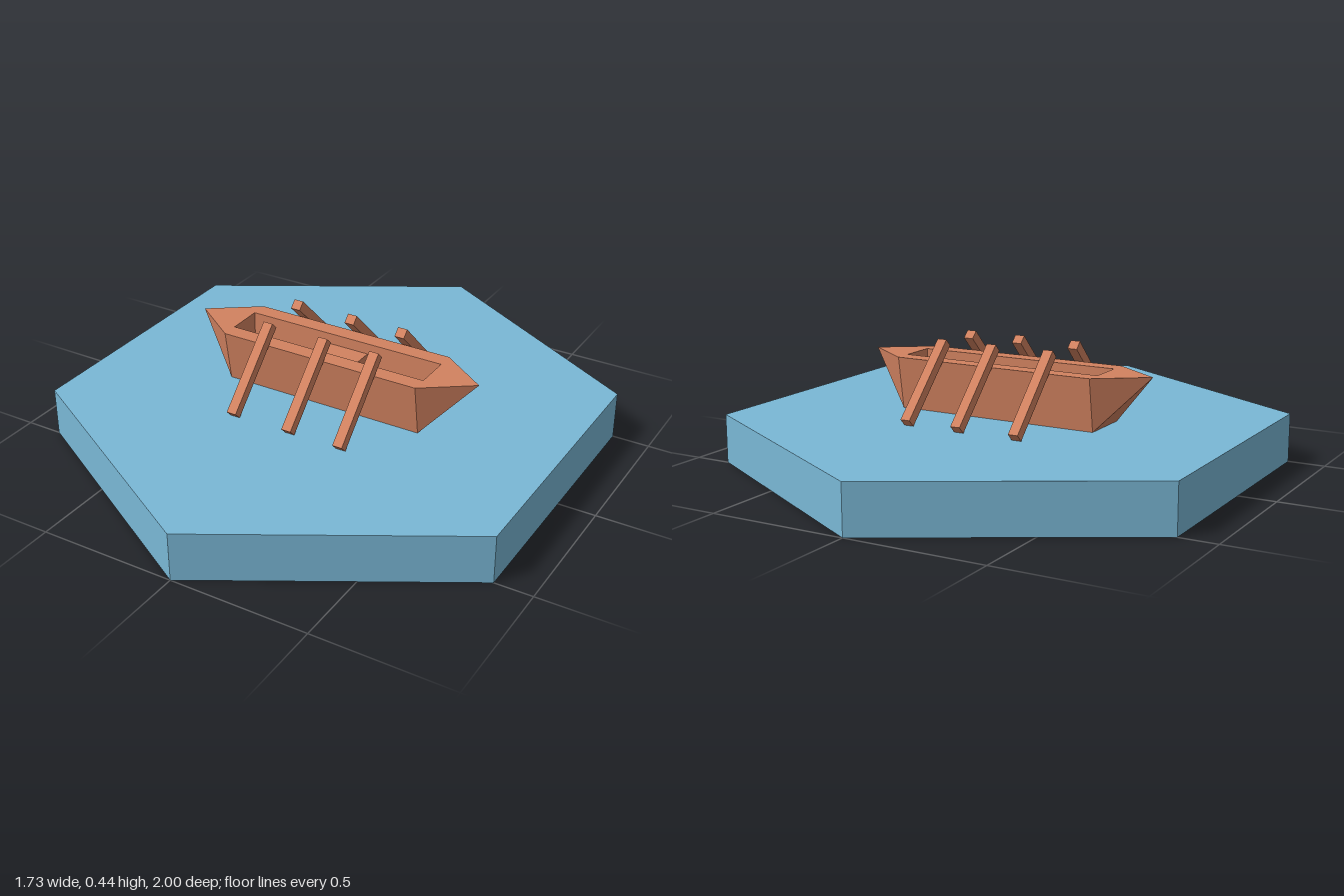
import * as THREE from 'three';

const WATER = 0.175, DECK = 0.365, FLOOR = 0.235;
const MID = 0.38, TIP = 0.555, BEAM = 0.125, KEEL = 0.095, WELL = 0.065;

// Flat-shaded surface from convex polygons, repeated with a half turn about y
function halfTurnSurface(polygons) {
  const pos = [];
  for (const s of [1, -1]) {
    for (const p of polygons) {
      for (let i = 1; i < p.length - 1; i++) {
        for (const [x, y, z] of [p[0], p[i], p[i + 1]]) pos.push(s * x, y, s * z);
      }
    }
  }
  const g = new THREE.BufferGeometry();
  g.setAttribute('position', new THREE.Float32BufferAttribute(pos, 3));
  g.computeVertexNormals();
  return g;
}

export function createModel() {
  const model = new THREE.Group();
  const water = new THREE.MeshStandardMaterial({ color: 0x7ab8d6 });
  water.name = 'waterBlue';
  const wood = new THREE.MeshStandardMaterial({ color: 0xd28260 });
  wood.name = 'woodOrange';

  const add = (name, geometry, material, parent = model) => {
    const mesh = new THREE.Mesh(geometry, material);
    mesh.name = name;
    parent.add(mesh);
    return mesh;
  };

  // Hexagonal water tile
  const tile = new THREE.CylinderGeometry(1, 1, WATER, 6).toNonIndexed();
  tile.computeVertexNormals();
  add('waterTile', tile, water).position.y = WATER / 2;

  const boat = new THREE.Group();
  boat.name = 'boat';
  model.add(boat);

  // Hull with pointed raked ends
  const tip = [TIP, DECK, 0];
  const topF = [MID, DECK, BEAM], topB = [MID, DECK, -BEAM];
  const lowF = [MID, WATER, KEEL], lowB = [MID, WATER, -KEEL];
  add('hull', halfTurnSurface([
    [[-MID, WATER, KEEL], lowF, topF, [-MID, DECK, BEAM]],
    [lowF, lowB, tip],
    [lowF, tip, topF],
    [lowB, topB, tip],
  ]), wood, boat);

  // Deck rim around the open well
  add('deck', halfTurnSurface([
    [topF, tip, topB],
    [[-MID, DECK, BEAM], topF, [MID, DECK, WELL], [-MID, DECK, WELL]],
  ]), wood, boat);

  // Inner walls and floor
  add('well', halfTurnSurface([
    [[MID, FLOOR, WELL], [-MID, FLOOR, WELL], [-MID, DECK, WELL], [MID, DECK, WELL]],
    [[MID, FLOOR, -WELL], [MID, FLOOR, WELL], [MID, DECK, WELL], [MID, DECK, -WELL]],
    [[-MID, FLOOR, WELL], [MID, FLOOR, WELL], [MID, FLOOR, 0], [-MID, FLOOR, 0]],
  ]), wood, boat);

  // Bench across the middle
  const benchTop = DECK - 0.04;
  add('bench', new THREE.BoxGeometry(0.184, benchTop - FLOOR, WELL * 2), wood, boat)
    .position.y = (benchTop + FLOOR) / 2;

  // Three oars on each side, leaning in over the deck
  const oar = new THREE.BoxGeometry(0.036, 0.343, 0.035);
  for (const side of [1, -1]) {
    for (const x of [-0.212, 0.01, 0.21]) {
      const mesh = add('oar', oar, wood, boat);
      mesh.position.set(x, 0.308, side * 0.21);
      mesh.rotation.x = -side * Math.PI / 4;
    }
  }
  return model;
}
